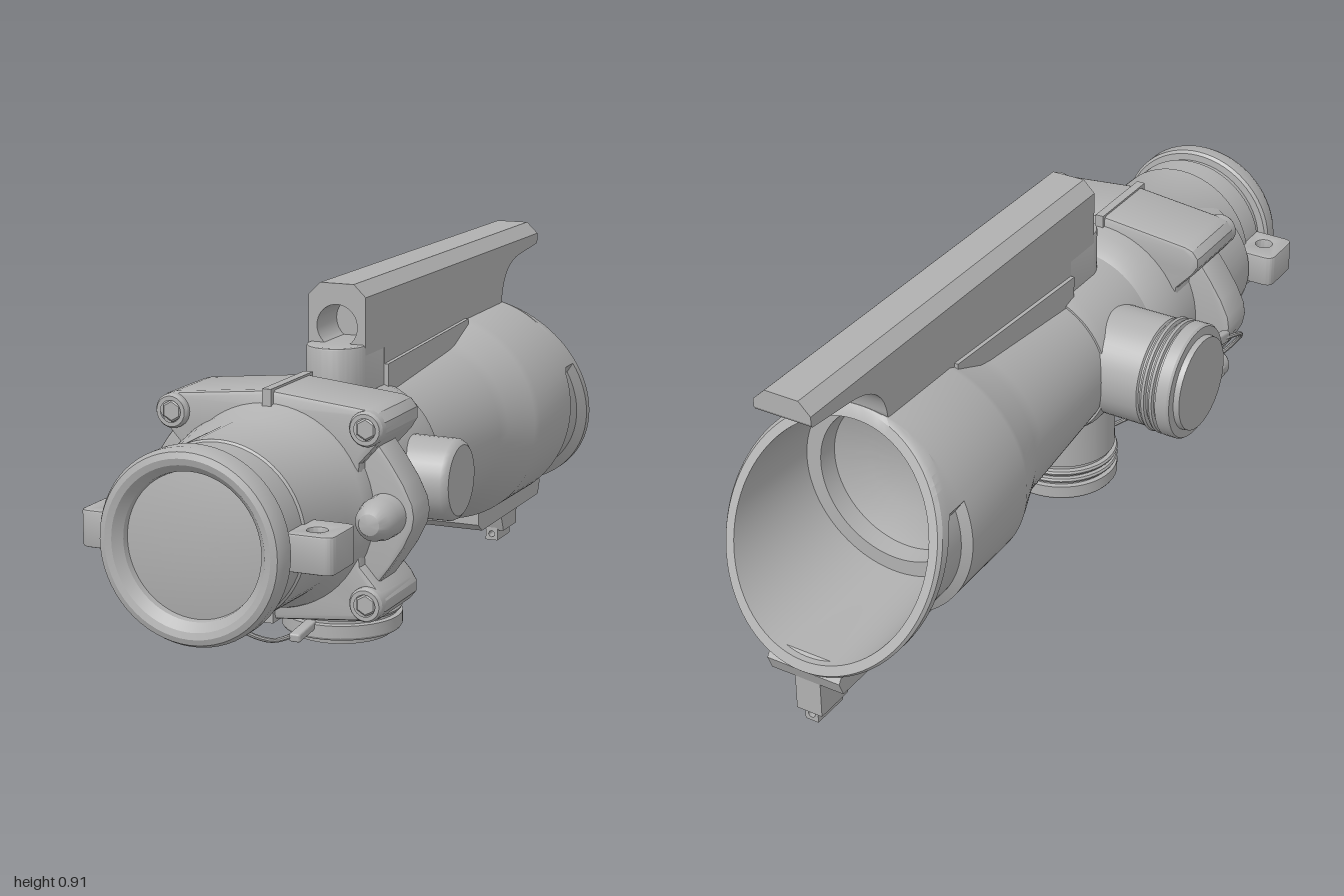
import * as THREE from 'three';
import { toCreasedNormals } from 'three/addons/utils/BufferGeometryUtils.js';
import { RoundedBoxGeometry } from 'three/addons/geometries/RoundedBoxGeometry.js';

const grey = new THREE.MeshStandardMaterial({ color: 0xb0b0b0 });
grey.name = 'grey';

const V2 = (p) => new THREE.Vector2(p[0], p[1]);
const polygon = (pts) => new THREE.Shape(pts.map(V2));

// All parts are placed relative to the optical axis
export function createModel() {
  const root = new THREE.Group();
  root.name = 'opticalSight';
  const axis = new THREE.Group();
  axis.name = 'sightBody';
  axis.position.set(0.031, 0.445, 0);
  root.add(axis);

  const add = (name, geo, x = 0, y = 0, z = 0) => {
    const m = new THREE.Mesh(toCreasedNormals(geo, 0.55), grey);
    m.name = name;
    m.position.set(x, y, z);
    axis.add(m);
    return m;
  };
  const lathe = (pts, seg = 48) => new THREE.LatheGeometry(pts.map(V2), seg);
  const latheZ = (pts, seg) => lathe(pts, seg).rotateX(Math.PI / 2);
  // Outline in x, y extruded between two z positions
  const slab = (shape, z0, z1, bevel = 0) => new THREE.ExtrudeGeometry(shape, {
    depth: z1 - z0 - 2 * bevel, curveSegments: 20, bevelEnabled: bevel > 0,
    bevelSize: bevel, bevelThickness: bevel, bevelOffset: -bevel, bevelSegments: 2,
  }).translate(0, 0, z0 + bevel);
  // Outline in z, y extruded symmetrically across x
  const sideSlab = (shape, width) => slab(shape, -width / 2, width / 2).rotateY(-Math.PI / 2);
  // Quarter outline mirrored into a closed one
  const mirror4 = (q) => {
    const right = [...q, ...q.slice().reverse().filter((p) => p[1] !== 0).map(([x, y]) => [x, -y])];
    const left = right.slice().reverse().filter((p) => p[0] !== 0).map(([x, y]) => [-x, y]);
    return [...right, ...left];
  };

  // Objective tube with a slanted hood and recessed side panels
  const rows = [
    [0, -0.5], [0.12, -0.515], [0.2, -0.55], [0.205, -0.6], [0.245, -0.6],
    [0.258, 0, 'rim'], [0.28, 0, 'rim'], [0.287, 0.01, 'rim'], [0.287, 0.035, 'rim'],
    [0.262, 0.045, 'rim', 1], [0.262, -0.715, '', 1], [0.285, -0.702], [0.282, -0.46],
    [0.275, -0.44], [0.237, -0.34], [0.23, -0.3], [0.197, 0.09], [0.197, 0.11],
  ];
  const tube = latheZ(rows, 96);
  const pos = tube.attributes.position;
  for (let i = 0; i < pos.count; i++) {
    const [r, off, rim, recess] = rows[i % rows.length];
    let x = pos.getX(i), y = pos.getY(i);
    const inPanel = y > -0.25 && y < 0.095;
    if (recess && !inPanel) {
      x *= 0.286 / r;
      y *= 0.286 / r;
    }
    if (rim) pos.setZ(i, Math.min(-0.725 - (0.282 - y) * 0.475 + off, -0.72));
    pos.setXY(i, x, y);
  }
  add('objectiveTube', tube);

  // Prism housing and eyepiece
  add('prismHousing', latheZ([
    [0.15, 0.06], [0.205, 0.06], [0.212, 0.09], [0.212, 0.29], [0.225, 0.31],
    [0.24, 0.35], [0.247, 0.4], [0.247, 0.57], [0.238, 0.6], [0.213, 0.64],
    [0.209, 0.84], [0.204, 0.845], [0.204, 0.915], [0.197, 0.92], [0.197, 0.935],
    [0.215, 0.937], [0.222, 0.945], [0.222, 0.98], [0.214, 0.995], [0.2, 1],
    [0.185, 0.996], [0.167, 0.975], [0.165, 0.96], [0.12, 0.968], [0.06, 0.973], [0, 0.975],
  ], 64));

  // Tapered fairing on the turret side
  const fairing = new THREE.CylinderGeometry(0.185, 0.225, 0.23, 48).rotateX(Math.PI / 2);
  add('sideFairing', fairing, -0.06, -0.01, 0.665);

  // Clamp block with four bolt ears
  add('clampBlock', slab(polygon(mirror4([
    [0, 0.272], [0.245, 0.247], [0.268, 0.24], [0.284, 0.22], [0.285, 0.195],
    [0.27, 0.17], [0.225, 0.12], [0.215, 0],
  ])), 0.385, 0.59, 0.012));

  // Bulging flange
  const half = [[0.2, 0.215], [0.255, 0.165], [0.285, 0.125], [0.318, 0.075], [0.34, 0.03], [0.345, 0]];
  add('sideFlange', slab(polygon(mirror4([[0, 0.22], ...half])), 0.46, 0.56, 0.008));

  for (const s of [-1, 1]) {
    for (const t of [-1, 1]) {
      add('boltBoss', latheZ([[0.04, 0.42], [0.041, 0.6], [0.036, 0.608], [0.026, 0.608]], 24),
        s * 0.244, t * 0.204);
      add('boltHead', latheZ([[0.027, 0.55], [0.027, 0.6], [0.022, 0.604], [0, 0.604]], 6),
        s * 0.244, t * 0.204);
    }
    // Centre seam ribs
    add('seamRib', new THREE.BoxGeometry(0.022, 0.06, 0.225), 0, s * 0.246, 0.49);

    // Lanyard lugs with upright holes
    const lug = new THREE.Shape();
    lug.moveTo(0.18, 0.79);
    lug.lineTo(0.28, 0.79);
    lug.quadraticCurveTo(0.307, 0.79, 0.307, 0.815);
    lug.lineTo(0.307, 0.9);
    lug.quadraticCurveTo(0.307, 0.922, 0.28, 0.922);
    lug.lineTo(0.18, 0.922);
    lug.holes.push(new THREE.Path().absarc(0.247, 0.865, 0.022, 0, Math.PI * 2, true));
    const lugGeo = slab(lug, -0.043, 0.043, 0.005).rotateX(Math.PI / 2);
    if (s < 0) lugGeo.rotateZ(Math.PI);
    add('lanyardLug', lugGeo, 0, -0.003, 0);
  }

  // Rounded nub ahead of the left flange
  add('sideNub', latheZ([[0.052, 0.5], [0.05, 0.6], [0.042, 0.635], [0.025, 0.655], [0, 0.662]], 24), 0.275);

  // Adjustment turrets with ringed caps
  const turretRows = [
    [0.142, 0.1], [0.142, 0.3], [0.136, 0.303], [0.136, 0.31], [0.147, 0.312], [0.15, 0.318],
    [0.147, 0.324], [0.138, 0.326], [0.138, 0.332], [0.147, 0.334], [0.15, 0.34], [0.147, 0.346],
    [0.138, 0.348], [0.138, 0.355], [0.15, 0.357], [0.15, 0.388], [0.146, 0.394], [0.124, 0.395],
    [0.122, 0.41], [0, 0.41],
  ];
  add('windageTurret', lathe(turretRows).rotateZ(Math.PI / 2), 0, 0, 0.178);
  add('elevationTurret', lathe(turretRows).rotateX(Math.PI), 0, 0, 0.187);

  // Plain knob and pin on the left side
  add('sideKnob', lathe([[0.102, 0.1], [0.1, 0.295], [0.094, 0.306], [0.086, 0.312], [0, 0.312]], 32)
    .rotateZ(-Math.PI / 2), 0, 0, 0.185);
  add('knobPin', new THREE.CapsuleGeometry(0.025, 0.1, 6, 12).rotateX(Math.PI / 2), 0.225, 0.005, 0.285);

  // Mounting rail: web and tail, bevelled top, bored nose
  const web = new THREE.Shape();
  web.moveTo(0.1, 0.43);
  web.lineTo(0.1, 0.17);
  web.lineTo(-0.4, 0.21);
  web.lineTo(-0.7, 0.25);
  web.lineTo(-0.717, 0.28);
  web.bezierCurveTo(-0.725, 0.35, -0.78, 0.385, -0.86, 0.39);
  web.lineTo(-0.995, 0.402);
  web.lineTo(-1, 0.41);
  web.lineTo(-1, 0.43);
  add('railWeb', sideSlab(web, 0.15));
  add('railTop', slab(polygon([[-0.075, 0.43], [0.075, 0.43], [0.044, 0.46], [-0.044, 0.46]]), -1, 0.1));
  const nose = polygon([[-0.075, 0.29], [0.075, 0.29], [0.075, 0.43], [0.044, 0.46], [-0.044, 0.46], [-0.075, 0.43]]);
  nose.holes.push(new THREE.Path().absarc(0, 0.356, 0.053, 0, Math.PI * 2, true));
  add('railNose', slab(nose, 0.1, 0.215));

  // Rounded post under the rail nose
  const post = new THREE.Shape();
  post.moveTo(-0.074, -0.08);
  post.lineTo(0.074, -0.08);
  post.lineTo(0.074, -0.215);
  post.absarc(0, -0.215, 0.074, 0, -Math.PI, true);
  add('railPost', slab(post, 0.12, 0.315, 0.006).rotateX(-Math.PI / 2));
  // Ramped fillets between rail and tube
  add('railFillet', sideSlab(polygon([[0.1, 0.15], [0.1, 0.25], [-0.44, 0.275], [-0.44, 0.18]]), 0.17));

  // Base strip and foot beneath the hood
  add('baseStrip', sideSlab(polygon([
    [-0.49, -0.25], [-0.49, -0.3], [-0.52, -0.322], [-0.97, -0.322], [-0.985, -0.285], [-0.96, -0.25],
  ]), 0.2));
  add('baseFoot', sideSlab(polygon([
    [-0.83, -0.31], [-0.835, -0.345], [-0.865, -0.415], [-0.97, -0.415], [-0.97, -0.31],
  ]), 0.07));
  const tab = polygon([[-0.018, -0.445], [0.018, -0.445], [0.018, -0.4], [-0.018, -0.4]]);
  tab.holes.push(new THREE.Path().absarc(0, -0.427, 0.009, 0, Math.PI * 2, true));
  add('footTab', slab(tab, -0.962, -0.862));

  // Retaining cord between the turret caps
  const cord = new THREE.CatmullRomCurve3([
    [-0.36, 0.025, 0.325], [-0.37, -0.005, 0.45], [-0.34, -0.065, 0.54], [-0.27, -0.155, 0.57],
    [-0.19, -0.225, 0.56], [-0.13, -0.315, 0.53], [-0.06, -0.365, 0.47], [-0.02, -0.365, 0.35],
  ].map((p) => new THREE.Vector3(...p)));
  add('retainingCord', new THREE.TubeGeometry(cord, 48, 0.006, 8));
  add('cordClipSide', new RoundedBoxGeometry(0.022, 0.03, 0.1, 2, 0.006), -0.362, 0.02, 0.36).rotation.x = 0.2;
  add('cordClipBottom', new RoundedBoxGeometry(0.03, 0.022, 0.1, 2, 0.006), -0.022, -0.365, 0.37).rotation.x = 0.1;

  return root;
}
